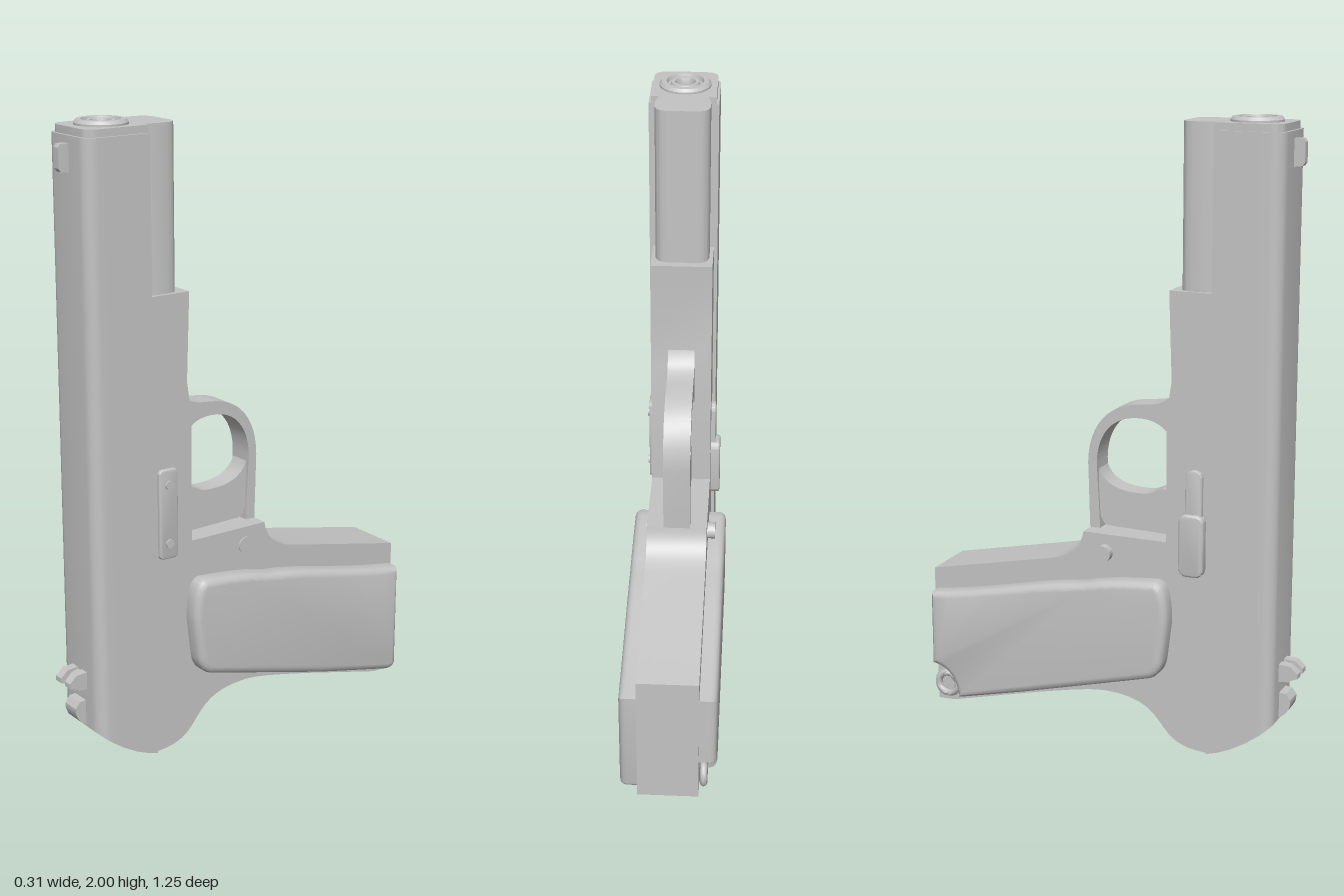
import * as THREE from 'three';
import { toCreasedNormals } from 'three/addons/utils/BufferGeometryUtils.js';

const steel = new THREE.MeshStandardMaterial({ color: 0xc4c4c4 });
steel.name = 'light grey steel';

const V = (p) => new THREE.Vector2(p[0], p[1]);

export function createModel() {
  const model = new THREE.Group();
  model.name = 'model';

  const add = (name, geo, crease = 0.6) => {
    const mesh = new THREE.Mesh(toCreasedNormals(geo, crease), steel);
    mesh.name = name;
    model.add(mesh);
    return mesh;
  };

  // Side profile of [z, y] points, extruded from x0 to x1
  const side = (name, shape, x0, x1, bevel = 0) => {
    const geo = new THREE.ExtrudeGeometry(shape, {
      depth: x1 - x0 - 2 * bevel, bevelEnabled: bevel > 0, bevelSize: bevel,
      bevelThickness: bevel, bevelOffset: -bevel, bevelSegments: 3, curveSegments: 12,
    });
    geo.rotateY(-Math.PI / 2);
    geo.translate(x1 - bevel, 0, 0);
    return add(name, geo);
  };

  // Plan outline of [x, z] points, extruded from y0 to y1
  const upright = (shape, y0, y1) => {
    const geo = new THREE.ExtrudeGeometry(shape, { depth: y1 - y0, bevelEnabled: false, curveSegments: 24 });
    geo.rotateX(Math.PI / 2);
    geo.translate(0, y1, 0);
    return geo;
  };

  const poly = (pts) => new THREE.Shape(pts.map(V));
  const roundRect = (z0, y0, z1, y1, r) => {
    const s = new THREE.Shape();
    s.absarc(z1 - r, y0 + r, r, -Math.PI / 2, 0);
    s.absarc(z1 - r, y1 - r, r, 0, Math.PI / 2);
    s.absarc(z0 + r, y1 - r, r, Math.PI / 2, Math.PI);
    s.absarc(z0 + r, y0 + r, r, Math.PI, Math.PI * 1.5);
    return s;
  };

  // Slide outline with rounded front corners
  const slideShape = (w, z0, z1, r) => {
    const half = [[w, z0], [w, 0.39], [w, 0.43], [w, 0.48]];
    for (let i = 0; i <= 6; i++) {
      const a = (i / 6) * Math.PI / 2;
      half.push([w - r + r * Math.cos(a), z1 - r + r * Math.sin(a)]);
    }
    return poly([...half, ...half.map(([x, z]) => [-x, z]).reverse()]);
  };

  // Slide: its lower end slopes up toward the front
  const slide = upright(slideShape(0.108, 0.348, 0.563, 0.04), 0, 1.962);
  const pos = slide.attributes.position;
  for (let i = 0; i < pos.count; i++) {
    if (pos.getY(i) > 0.01) continue;
    const d = Math.max(0, pos.getZ(i) - 0.348);
    pos.setY(i, 0.25 * d + 1.6 * d * d);
  }
  add('slide', slide);

  // Muzzle end with barrel and bushing rings
  const cap = slideShape(0.1, 0.348, 0.554, 0.036);
  cap.holes.push(new THREE.Path().absarc(0, 0.445, 0.078, 0, Math.PI * 2, true));
  add('slideEnd', upright(cap, 1.962, 1.985));
  const rings = new THREE.LatheGeometry([
    [0.08, 1.963], [0.08, 1.991], [0.073, 2], [0.058, 2], [0.054, 1.988], [0.046, 1.988],
    [0.042, 1.997], [0.032, 1.997], [0.029, 1.99], [0.029, 1.964], [0, 1.964],
  ].map(V), 40);
  rings.translate(0, 0, 0.445);
  add('muzzleRings', rings);

  // Spring housing under the barrel, rounded at the back
  const housing = new THREE.Shape();
  housing.moveTo(0.075, 0.35);
  housing.lineTo(0.085, 0.31);
  housing.lineTo(0.085, 0.275);
  housing.quadraticCurveTo(0.083, 0.236, 0.045, 0.234);
  housing.lineTo(-0.045, 0.234);
  housing.quadraticCurveTo(-0.083, 0.236, -0.085, 0.275);
  housing.lineTo(-0.085, 0.31);
  housing.lineTo(-0.075, 0.35);
  add('springHousing', upright(housing, 1.46, 1.985));

  // Frame and grip core in one profile
  const frame = new THREE.Shape();
  frame.moveTo(0.352, 1.48);
  frame.lineTo(0.208, 1.48);
  frame.lineTo(0.218, 1.2);
  frame.lineTo(0.203, 1.1);
  frame.lineTo(0.203, 0.685);
  frame.lineTo(-0.08, 0.685);
  frame.bezierCurveTo(-0.09, 0.63, -0.12, 0.6, -0.19, 0.582);
  frame.lineTo(-0.625, 0.49);
  frame.lineTo(-0.62, 0.028);
  frame.lineTo(-0.56, 0.03);
  frame.lineTo(-0.285, 0.1);
  frame.bezierCurveTo(-0.12, 0.14, -0.05, 0.155, 0, 0.155);
  frame.bezierCurveTo(0.2, 0.155, 0.17, 0.04, 0.27, 0.01);
  frame.quadraticCurveTo(0.3, 0, 0.352, 0);
  side('frameAndGrip', frame, -0.097, 0.097);

  // Trigger guard loop
  const guard = new THREE.Shape();
  guard.moveTo(0.222, 1.2);
  guard.bezierCurveTo(0.2, 1.11, 0.15, 1.11, 0.1, 1.105);
  guard.bezierCurveTo(-0.02, 1.1, -0.085, 1.02, -0.087, 0.9);
  guard.lineTo(-0.08, 0.67);
  guard.lineTo(-0.045, 0.67);
  guard.lineTo(-0.057, 0.9);
  guard.bezierCurveTo(-0.055, 1.0, 0.0, 1.06, 0.09, 1.06);
  guard.quadraticCurveTo(0.18, 1.06, 0.206, 0.98);
  guard.lineTo(0.23, 0.98);
  side('triggerGuard', guard, -0.043, 0.043);

  // Trigger with its curved finger face
  const trigger = new THREE.Shape();
  trigger.moveTo(0.21, 0.8);
  trigger.bezierCurveTo(0.18, 0.87, 0.15, 0.82, 0.11, 0.815);
  trigger.bezierCurveTo(0.04, 0.81, -0.03, 0.82, -0.053, 0.88);
  trigger.lineTo(-0.052, 0.75);
  trigger.quadraticCurveTo(-0.045, 0.69, -0.01, 0.695);
  trigger.lineTo(0.21, 0.69);
  side('trigger', trigger, -0.035, 0.035);

  // Grip panels; the right-hand one is cut away for the lanyard ring
  const panel = (cut) => {
    const s = new THREE.Shape();
    s.moveTo(0.226, 0.43);
    s.quadraticCurveTo(0.225, 0.562, 0.18, 0.562);
    s.bezierCurveTo(0.08, 0.555, 0, 0.545, -0.07, 0.525);
    s.bezierCurveTo(-0.25, 0.505, -0.35, 0.46, -0.616, 0.42);
    if (cut) {
      s.lineTo(-0.616, 0.17);
      s.quadraticCurveTo(-0.53, 0.16, -0.52, 0.06);
    } else {
      s.lineTo(-0.616, 0.07);
      s.quadraticCurveTo(-0.61, 0.045, -0.57, 0.052);
    }
    s.lineTo(-0.285, 0.118);
    s.lineTo(0.16, 0.237);
    s.quadraticCurveTo(0.205, 0.25, 0.212, 0.31);
    return s;
  };
  side('leftGripPanel', panel(false), 0.07, 0.153, 0.022);
  side('rightGripPanel', panel(true), -0.153, -0.07, 0.022);

  // Lanyard ring
  const ring = new THREE.TorusGeometry(0.036, 0.012, 8, 20);
  ring.rotateY(Math.PI / 2);
  ring.translate(-0.112, 0.095, -0.575);
  add('lanyardRing', ring, 1);

  // Pins and buttons across the frame
  const pin = (name, x0, x1, y, z, r) => {
    const geo = new THREE.CylinderGeometry(r, r, x1 - x0, 20);
    geo.rotateZ(Math.PI / 2);
    geo.translate((x0 + x1) / 2, y, z);
    add(name, geo);
  };
  pin('magazineCatch', -0.122, 0.102, 0.625, -0.005, 0.027);
  [0.7, 0.89].forEach((y) => pin('platePin', 0.09, 0.115, y, 0.295, 0.014));

  // Clip plate on the left, slide stop on the right
  side('clipPlate', roundRect(0.262, 0.65, 0.33, 0.94, 0.014), 0.09, 0.109, 0.004);
  side('slideStop', roundRect(0.272, 0.6, 0.325, 0.93, 0.024), -0.112, -0.09, 0.004);
  side('slideStopThumbPad', roundRect(0.255, 0.59, 0.335, 0.79, 0.025), -0.127, -0.09, 0.006);

  // Sights
  side('frontSight', poly([[0.55, 1.855], [0.59, 1.86], [0.597, 1.87], [0.597, 1.93], [0.59, 1.94], [0.55, 1.94]]), -0.012, 0.012);
  const rear = [[0.55, 0.27], [0.6, 0.265], [0.625, 0.275], [0.625, 0.29], [0.6, 0.312], [0.55, 0.315]];
  [-1, 1].forEach((s) => side('rearSightEar', poly(rear), s * 0.026 - 0.015, s * 0.026 + 0.015));
  side('rearSightBase', poly([[0.55, 0.255], [0.595, 0.26], [0.608, 0.275], [0.59, 0.3], [0.55, 0.312]]), -0.041, 0.041);

  // Hammer spur
  const hammer = new THREE.Shape();
  hammer.moveTo(0.52, 0.12);
  hammer.lineTo(0.56, 0.13);
  hammer.quadraticCurveTo(0.603, 0.155, 0.6, 0.195);
  hammer.lineTo(0.585, 0.215);
  hammer.lineTo(0.52, 0.22);
  side('hammer', hammer, -0.031, 0.031);

  return model;
}
